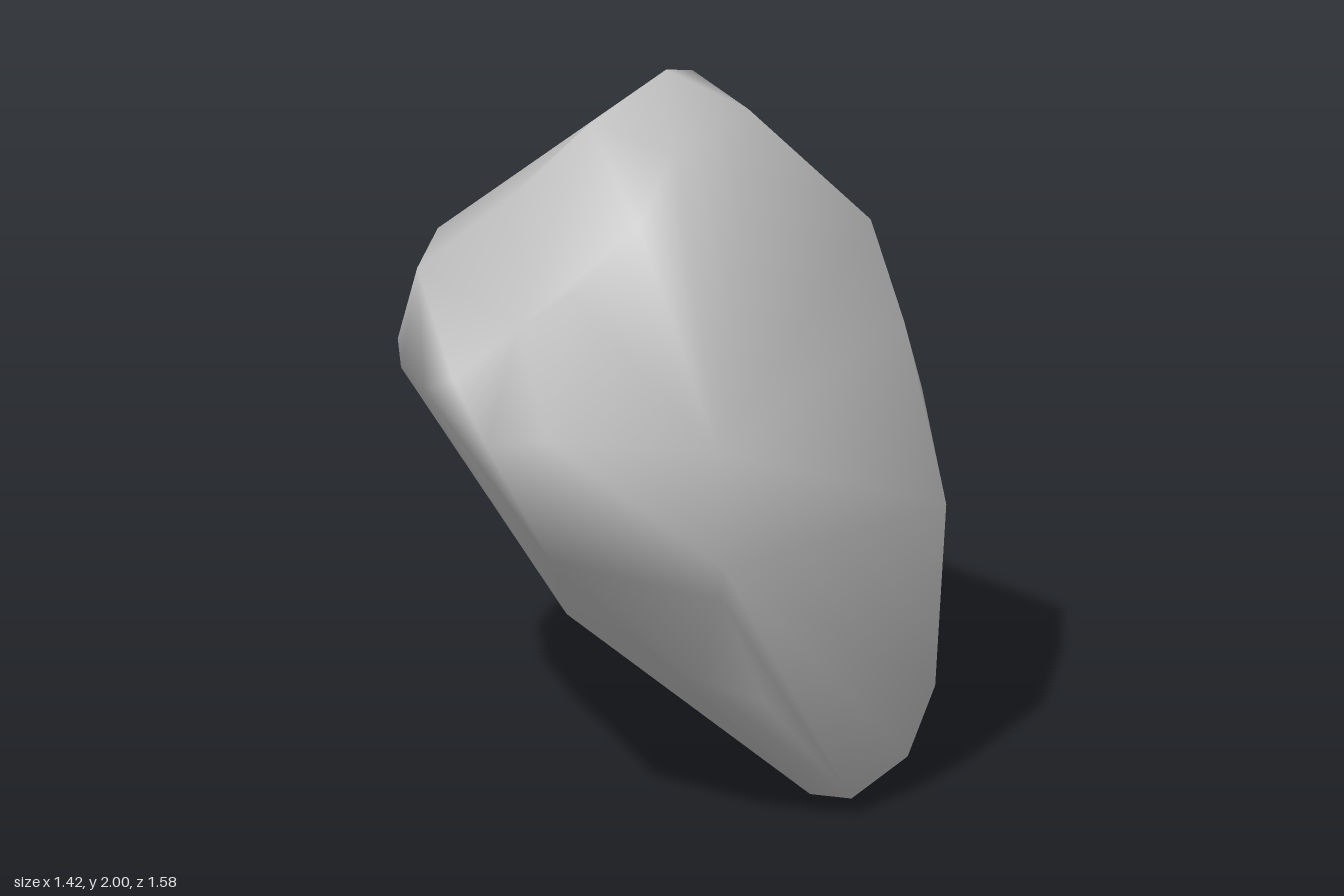
import * as THREE from 'three';
import { ConvexGeometry } from 'three/addons/geometries/ConvexGeometry.js';
import { mergeVertices } from 'three/addons/utils/BufferGeometryUtils.js';

// Corners of the boulder
const crown = [
  [0.02, 2, 0.13], [0.23, 1.9, 0.12], [-0.15, 1.91, 0.3], [0.06, 1.93, -0.05],
  [0.08, 1.88, 0.4], [0.02, 1.75, 0.6], [-0.15, 1.57, 0.64],
];
const shoulder = [
  [0.51, 1.53, -0.1], [0.6, 1.27, -0.07], [0.14, 1.55, -0.3], [-0.18, 1.69, -0.29],
  [-0.38, 1.34, -0.49], [-0.62, 1.42, 0.13], [-0.61, 1.42, -0.15],
];
const middle = [
  [0.27, 0.91, 0.79], [0.25, 1.21, 0.75], [-0.2, 1.2, 0.72], [-0.2, 0.84, 0.63],
  [0.71, 0.78, -0.06], [0.6, 0.97, -0.37], [0.39, 0.98, -0.6], [0, 0.82, -0.79],
  [0, 1.05, -0.73], [-0.2, 0.7, -0.77], [-0.4, 1, -0.67], [-0.66, 1.07, -0.4],
  [-0.71, 1.12, -0.13], [-0.62, 0.9, -0.27], [-0.66, 1.15, 0.14],
];
const spur = [[-0.46, 1.3, 0.58], [-0.56, 1.2, 0.41]];
const base = [
  [-0.27, 0.41, -0.09], [0.32, 0.42, 0.46], [0.15, 0.48, 0.48], [0.68, 0.28, -0.07],
  [0.62, 0.11, 0], [0.5, 0.05, 0.16], [0.38, 0.02, 0.07], [0.47, 0, -0.02],
  [0.36, 0.03, -0.27], [0.06, 0.19, -0.67], [-0.02, 0.55, -0.77],
];
// Hollows beside the spur and under the brow: each corner starts outside the hull and is pushed in
const hollows = [
  { from: [-0.36, 1.52, 0.6], to: [-0.31, 1.4, 0.45] },
  { from: [-0.42, 1.71, 0.26], to: [-0.38, 1.64, 0.18] },
  { from: [-0.36, 1.13, 0.66], to: [-0.37, 1.13, 0.6] },
  { from: [0.24, 0.75, 0.72], to: [0.24, 0.76, 0.63] },
];

export function createModel() {
  const corners = [...crown, ...shoulder, ...middle, ...spur, ...base, ...hollows.map((h) => h.from)];
  const hull = new ConvexGeometry(corners.map((p) => new THREE.Vector3(...p)));

  // Press the hollows into the hull
  const pos = hull.attributes.position;
  const v = new THREE.Vector3();
  for (let i = 0; i < pos.count; i++) {
    v.fromBufferAttribute(pos, i);
    for (const { from, to } of hollows) {
      if (v.distanceTo(new THREE.Vector3(...from)) < 1e-3) pos.setXYZ(i, ...to);
    }
  }

  // Join the corners so the whole stone shades smoothly
  hull.deleteAttribute('normal');
  const smooth = mergeVertices(hull);
  smooth.computeVertexNormals();

  const stone = new THREE.MeshStandardMaterial({ color: 0xc8c8c8 });
  stone.name = 'grey stone';
  const boulder = new THREE.Mesh(smooth, stone);
  boulder.name = 'boulder';

  const group = new THREE.Group();
  group.name = 'rock';
  group.add(boulder);
  return group;
}
